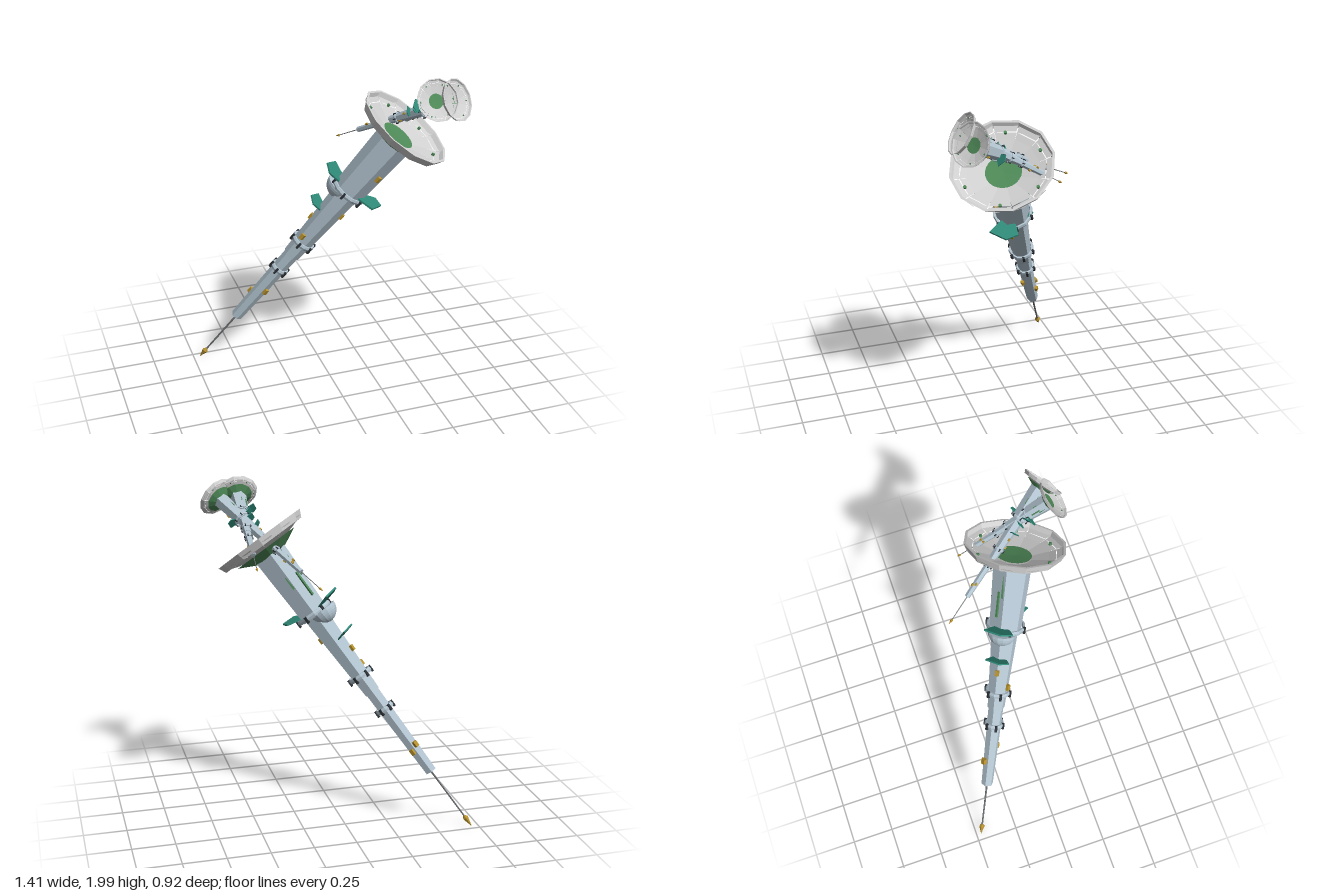
import * as THREE from 'three';

const V = (x, y, z) => new THREE.Vector3(x, y, z);

function mat(name, color, opts = {}) {
  const m = new THREE.MeshStandardMaterial({ color, flatShading: true, ...opts });
  m.name = name;
  return m;
}

export function createModel() {
  const hull = mat('paleBlueHull', 0xb4c6d2);
  const panel = mat('lightGreyPanel', 0xd0cfcf, { side: THREE.DoubleSide });
  const green = mat('green', 0x4f8a58, { side: THREE.DoubleSide });
  const teal = mat('teal', 0x2f8a78);
  const gold = mat('gold', 0xb8922e);
  const dark = mat('darkClamp', 0x2d3236);
  const rodGrey = mat('rodGrey', 0x6f7274);

  const add = (parent, name, geo, material, x = 0, y = 0, z = 0) => {
    const m = new THREE.Mesh(geo, material);
    m.name = name;
    m.position.set(x, y, z);
    parent.add(m);
    return m;
  };

  // Six-sided tube between two heights
  const tube = (parent, name, y0, y1, r0, r1, material = hull, sides = 6) =>
    add(parent, name, new THREE.CylinderGeometry(r1, r0, y1 - y0, sides), material, 0, (y0 + y1) / 2, 0);

  // Box standing on the tube wall at angle a (0 = local +z)
  const onWall = (parent, name, size, material, y, r, a) => {
    const b = add(parent, name, new THREE.BoxGeometry(...size), material, Math.sin(a) * r, y, Math.cos(a) * r);
    b.rotation.y = a;
    return b;
  };

  // Five-cornered fin lying across the shaft, leaning outward
  const finShape = new THREE.Shape([
    [-0.045, 0], [0.045, 0], [0.085, 0.07], [0.03, 0.125], [-0.075, 0.1],
  ].map(p => new THREE.Vector2(...p)));
  const finGeo = new THREE.ExtrudeGeometry(finShape, { depth: 0.01, bevelEnabled: false });
  finGeo.rotateX(Math.PI / 2);

  function fin(parent, y, r, a, size) {
    const pivot = new THREE.Group();
    pivot.name = 'fin';
    pivot.position.y = y;
    pivot.rotation.y = a;
    const f = add(pivot, 'finPlate', finGeo, teal, 0, 0, r);
    f.rotation.x = -0.25;
    f.scale.setScalar(size);
    parent.add(pivot);
  }

  // Ring with dark clamps around the shaft
  function collar(parent, y, r) {
    const ring = add(parent, 'collarRing', new THREE.TorusGeometry(r, 0.009, 6, 12), hull, 0, y, 0);
    ring.rotation.x = Math.PI / 2;
    ring.scale.z = 1.8;
    for (let i = 0; i < 6; i++) {
      onWall(parent, 'collarClamp', [0.014, 0.04, 0.014], dark, y - 0.005, r + 0.006, (i + 0.5) * Math.PI / 3);
    }
  }

  // Telescoping shaft, spike at the origin, pointing along +y
  function shaft(isMain) {
    const g = new THREE.Group();
    g.name = 'shaft';
    const spike = tube(g, 'spikeTip', 0, 0.06, 0.001, 0.018, gold);
    spike.scale.set(1, 1, 1);
    tube(g, 'spikeCap', 0.06, 0.078, 0.018, 0.006, gold);
    tube(g, 'spikeRod', 0.07, 0.43, 0.005, 0.006, rodGrey);
    tube(g, 'lowerTube', 0.41, 1.0, 0.036, 0.046);
    tube(g, 'middleTube', 0.99, 1.13, 0.052, 0.058);
    tube(g, 'upperTube', 1.11, 1.57, 0.058, 0.08);
    tube(g, 'headTube', 1.54, 2.0, 0.094, 0.112);
    collar(g, 0.87, 0.05);
    collar(g, 1.11, 0.068);
    collar(g, 1.56, 0.105);
    fin(g, 1.58, 0.075, 0, 1);
    fin(g, 1.58, 0.075, Math.PI, 1);
    fin(g, 1.36, 0.04, Math.PI, 0.85);
    // Gold boxes: height, wall radius, angle
    for (const [y, r, a] of [[1.75, 0.092, -0.52], [1.4, 0.066, 0], [1.27, 0.06, Math.PI],
      [1.16, 0.06, -1.9], [0.69, 0.038, -0.6], [0.57, 0.036, 1.57], [0.6, 0.042, 2.6]]) {
      onWall(g, 'goldBox', [0.022, 0.035, 0.03], gold, y, r, a);
    }
    // Green inlays on the back of the head
    for (const [y, h, a] of [[1.73, 0.16, 2.75], [1.85, 0.14, 3.0], [1.78, 0.08, 2.0]]) {
      onWall(g, 'greenInlay', [0.012, h, 0.012], green, y, 0.094, a);
    }
    if (isMain) {
      const dome = new THREE.SphereGeometry(0.085, 16, 8, 0, Math.PI * 2, Math.PI / 2, Math.PI / 2);
      add(g, 'dome', dome, hull, 0, 1.55, -0.055);
      const lid = add(g, 'domeLid', new THREE.CircleGeometry(0.085, 16), hull, 0, 1.55, -0.055);
      lid.rotation.x = -Math.PI / 2;
    }
    return g;
  }

  // Faceted dish opening along +y
  function dish() {
    const g = new THREE.Group();
    g.name = 'dish';
    const N = 12, step = Math.PI * 2 / N;
    const lathe = (name, pts, material, start = 0, len = Math.PI * 2, seg = N) =>
      add(g, name, new THREE.LatheGeometry(pts.map(p => new THREE.Vector2(...p)), seg, start, len), material);
    lathe('dishBowl', [[0, 0], [0.1, 0.004], [0.2, 0.03]], panel);
    lathe('dishCentre', [[0, 0.008], [0.1, 0.013]], green, 0, Math.PI * 2, 24);
    lathe('dishBacking', [[0.1, -0.03], [0.2, 0.02]], green);
    // Outer panels in three bands with slits between them
    for (let i = 0; i < N; i++) {
      const a = i * step;
      lathe('innerPanel', [[0.198, 0.03], [0.236, 0.042]], panel, a, step * 0.985, 1);
      lathe('outerPanel', [[0.24, 0.043], [0.27, 0.054]], panel, a + step * 0.02, step * 0.96, 1);
      lathe('rimPanel', [[0.266, 0.04], [0.288, 0.085], [0.274, 0.085]], panel, a, step, 1);
      lathe('panelSeam', [[0.236, 0.042], [0.24, 0.043]], panel, a + step * 0.6, step * 0.4, 1);
      lathe('rimSeam', [[0.269, 0.053], [0.276, 0.06]], panel, a, step * 0.5, 1);
      if (i % 2 === 0) {
        const s = add(g, 'dishStud', new THREE.CylinderGeometry(0.009, 0.009, 0.014, 8), green,
          Math.sin(a + step / 2) * 0.225, 0.046, Math.cos(a + step / 2) * 0.225);
        s.rotation.y = a;
      }
    }
    return g;
  }

  // Shaft and dish placed by tip, direction and side hint
  function antenna(name, tip, dir, hint, length, width, dishScale, isMain = false) {
    const g = new THREE.Group();
    g.name = name;
    const y = dir.clone().normalize();
    const z = hint.clone().addScaledVector(y, -hint.dot(y)).normalize();
    const x = new THREE.Vector3().crossVectors(y, z);
    g.quaternion.setFromRotationMatrix(new THREE.Matrix4().makeBasis(x, y, z));
    g.position.copy(tip);
    const s = shaft(isMain);
    s.scale.set(width, length, width);
    const d = dish();
    d.scale.setScalar(dishScale);
    d.position.y = 2.0 * length;
    g.add(s, d);
    return g;
  }

  const model = new THREE.Group();
  model.name = 'antennaSpire';
  model.add(
    antenna('mainAntenna', V(-0.71, 0.005, -0.47), V(0.534, 0.793, 0.294), V(0.6, -0.6, 0.525), 1, 1, 1, true),
    antenna('longSideAntenna', V(0.15, 1.45, -0.33), V(0.483, 0.451, 0.751), V(1, -0.3, 0), 0.45, 0.43, 0.42),
    antenna('shortSideAntenna', V(0.48, 1.545, -0.17), V(0, 0.527, 0.85), V(1, -0.3, 0), 0.31, 0.43, 0.42),
  );
  return model;
}
